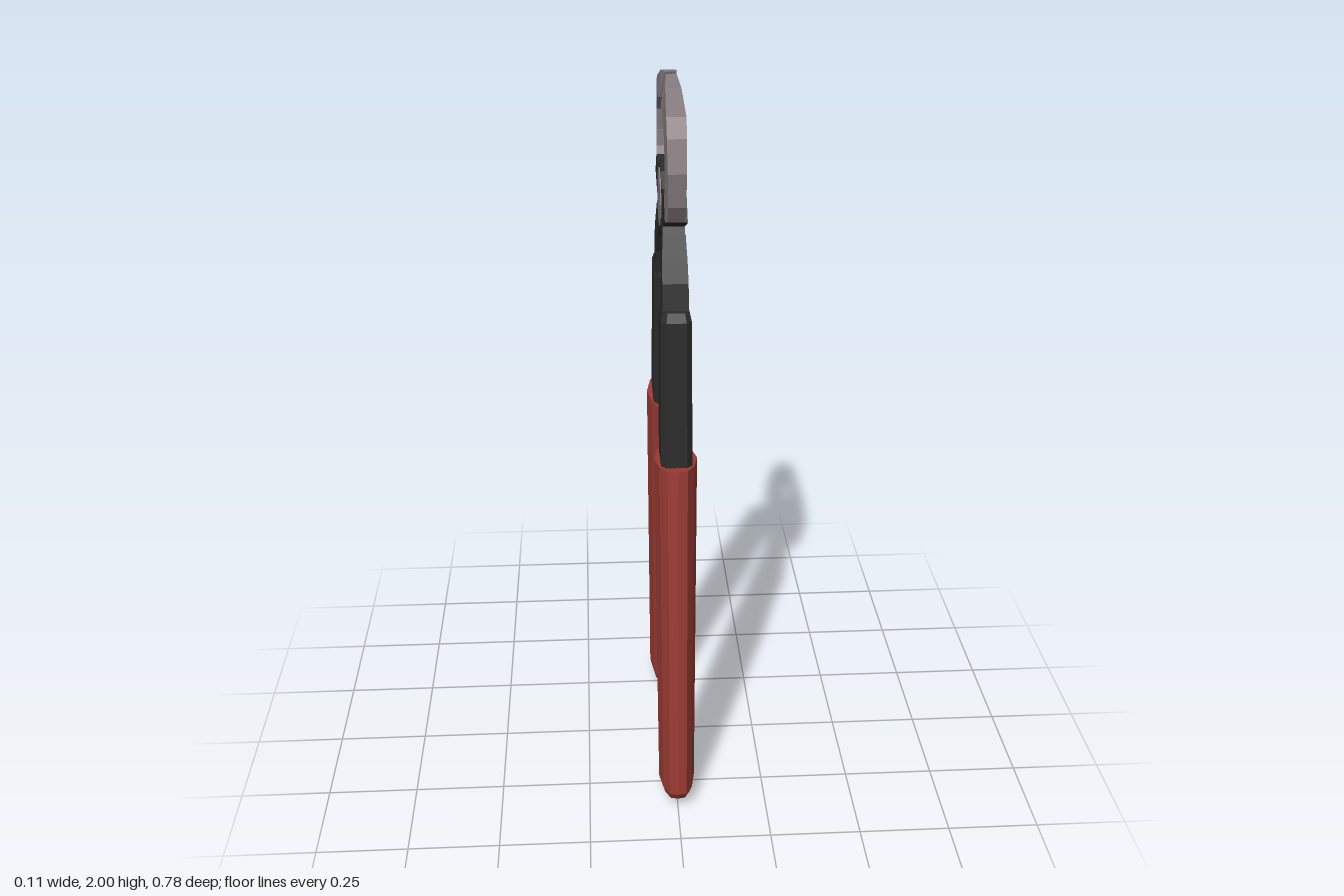
import * as THREE from 'three';

const mat = (color) => new THREE.MeshStandardMaterial({ color, flatShading: true });

// Cross-section outlines (u across the part, w through its thickness), counter-clockwise
const OVAL = [[1, 0], [0.95, 0.46], [0.62, 0.8], [0, 1], [-0.62, 0.8], [-0.95, 0.46],
  [-1, 0], [-0.95, -0.46], [-0.62, -0.8], [0, -1], [0.62, -0.8], [0.95, -0.46]];
const CHAMFERED = [[1, -0.65], [1, 0.65], [0.8, 1], [-0.8, 1], [-1, 0.65], [-1, -0.65], [-0.8, -1], [0.8, -1]];
const SQUARE = [[1, -1], [1, 1], [-1, 1], [-1, -1]];

// Loft through stations [inner z, inner y, outer z, outer y, inner half width, outer half width]
function loft(outline, stations) {
  const pos = [], index = [], n = outline.length;
  for (const [iz, iy, oz, oy, wi, wo = wi] of stations) {
    for (const [u, w] of outline) {
      const t = (u + 1) / 2;
      pos.push(w * (wi + (wo - wi) * t), iy + (oy - iy) * t, iz + (oz - iz) * t);
    }
  }
  for (let s = 0; s < stations.length - 1; s++) {
    for (let j = 0; j < n; j++) {
      const a = s * n + j, b = s * n + (j + 1) % n;
      index.push(a, b, b + n, a, b + n, a + n);
    }
  }
  const last = (stations.length - 1) * n;
  for (let j = 1; j < n - 1; j++) index.push(0, j + 1, j, last, last + j, last + j + 1);
  const g = new THREE.BufferGeometry();
  g.setAttribute('position', new THREE.Float32BufferAttribute(pos, 3));
  g.setIndex(index);
  const flat = g.toNonIndexed();
  flat.computeVertexNormals();
  return flat;
}

export function createModel() {
  const root = new THREE.Group();
  root.name = 'endCuttingPincers';
  const steel = mat(0x857b7e), black = mat(0x2b2b2b), red = mat(0x9b3b33);
  const add = (parent, name, geometry, material) => {
    const mesh = new THREE.Mesh(geometry, material);
    mesh.name = name;
    parent.add(mesh);
    return mesh;
  };

  // Two identical halves, the second turned half round
  for (const [name, turn] of [['frontHalf', 0], ['backHalf', Math.PI]]) {
    const half = new THREE.Group();
    half.name = name;
    half.rotation.y = turn;
    root.add(half);

    // Curved cutting jaw, from the head up to the cutting edge
    add(half, 'jaw', loft(SQUARE, [
      [0.19, 1.738, 0.24, 1.69, 0.027, 0.022],
      [0.203, 1.765, 0.268, 1.735, 0.027, 0.022],
      [0.205, 1.81, 0.281, 1.82, 0.027, 0.023],
      [0.198, 1.865, 0.262, 1.9, 0.027, 0.024],
      [0.165, 1.902, 0.23, 1.945, 0.027, 0.024],
      [0.1, 1.917, 0.11, 1.985, 0.027, 0.02],
      [0.038, 1.932, 0.012, 2.0, 0.027, 0.014],
    ]), steel);

    // Bent arm between the head and the sleeve
    add(half, 'arm', loft(SQUARE, [
      [0.12, 1.4, 0.235, 1.4, 0.034],
      [0.107, 1.5, 0.208, 1.52, 0.033],
      [0.082, 1.55, 0.18, 1.57, 0.032],
      [0.05, 1.585, 0.145, 1.63, 0.029],
    ]), black);

    // Black inner sleeve with a chamfered top
    add(half, 'sleeve', loft(CHAMFERED, [
      [0.142, 1.0, 0.295, 1.015, 0.041],
      [0.108, 1.425, 0.262, 1.435, 0.039],
      [0.112, 1.443, 0.245, 1.456, 0.034],
    ]), black);

    // Red grip with a rounded end
    add(half, 'grip', loft(OVAL, [
      [0.235, 0.002, 0.34, 0.012, 0.024],
      [0.203, 0.024, 0.375, 0.038, 0.042],
      [0.192, 0.05, 0.392, 0.065, 0.05],
      [0.115, 1.03, 0.322, 1.05, 0.057],
    ]), red);
  }

  // Flat head plate spanning both halves
  const side = [[0.05, 1.765], [0.088, 1.73], [0.19, 1.745], [0.24, 1.69], [0.21, 1.675],
    [0.13, 1.645], [0.145, 1.62], [0.085, 1.55], [0.045, 1.588]];
  const outline = [[0, 1.775], ...side, [0, 1.594], ...side.map(([z, y]) => [-z, y]).reverse()];
  const plate = new THREE.ExtrudeGeometry(
    new THREE.Shape(outline.map(([z, y]) => new THREE.Vector2(z, y))),
    { depth: 0.056, bevelEnabled: false });
  plate.translate(0, 0, -0.028).rotateY(-Math.PI / 2);
  add(root, 'head', plate, black);

  // Pivot rivet
  const pivot = add(root, 'pivot', new THREE.CylinderGeometry(0.076, 0.076, 0.062, 12), steel);
  pivot.rotation.z = Math.PI / 2;
  pivot.position.y = 1.685;

  return root;
}
